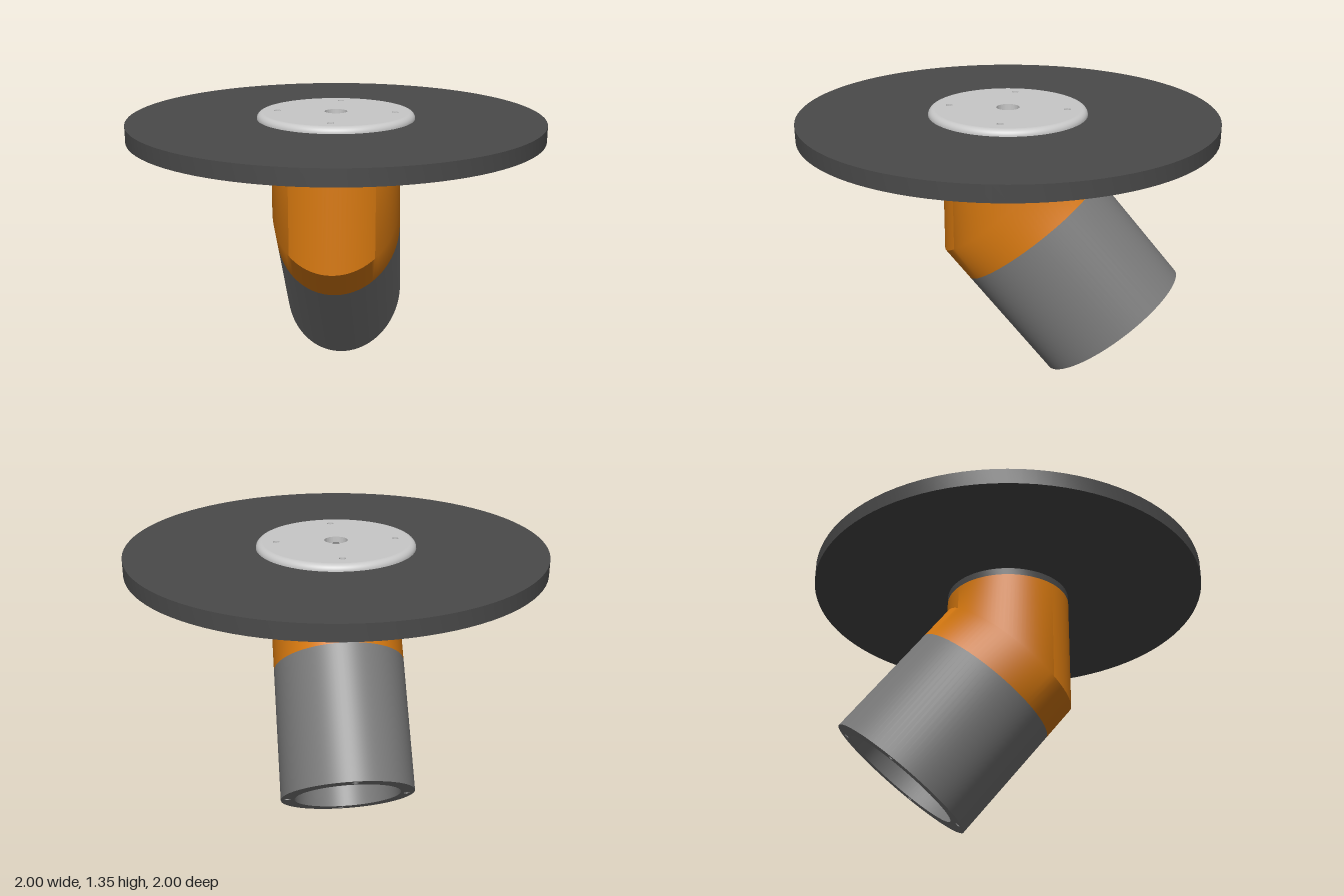
import * as THREE from 'three';
import { toCreasedNormals } from 'three/addons/utils/BufferGeometryUtils.js';

const TILT = THREE.MathUtils.degToRad(40);
const R = 0.315, BORE = 0.25, SCREW = 0.283, SCREW_R = 0.016;
const STRETCH = 1 / Math.cos(TILT); // slanted cut turns the round tube elliptical
const MITRE_Y = 0.895, SLEEVE = 0.19, PIPE = 0.63;

const mat = (name, color, side = THREE.FrontSide) => {
  const m = new THREE.MeshStandardMaterial({ color, side });
  m.name = name;
  return m;
};

// Ellipse plate with a central bore and four screw holes, extruded along +z
function drilledPlate(radius, bore, depth, stretch = 1) {
  const shape = new THREE.Shape();
  shape.absellipse(0, 0, radius, radius * stretch, 0, Math.PI * 2);
  const hole = (x, y, rx, ry) => {
    const p = new THREE.Path();
    p.absellipse(x, y, rx, ry, 0, Math.PI * 2, true);
    shape.holes.push(p);
  };
  hole(0, 0, bore, bore * stretch);
  for (const s of [-1, 1]) {
    hole(s * SCREW, 0, SCREW_R, SCREW_R);
    hole(0, s * SCREW * stretch, SCREW_R, SCREW_R);
  }
  const geo = new THREE.ExtrudeGeometry(shape, { depth, bevelEnabled: false, curveSegments: 48 });
  return toCreasedNormals(geo, 0.5);
}

// Hollow elbow: vertical round tube meeting a short slanted sleeve
function elbowGeometry() {
  const N = 96;
  const top = (x, z) => [x, 1.215, z];
  const mitre = (x, z) => [x, MITRE_Y - z * Math.tan(TILT), z];
  const end = (x, z) => {
    const [, y] = mitre(x, z);
    return [x, y - SLEEVE * Math.cos(TILT), z - SLEEVE * Math.sin(TILT)];
  };
  const rings = [[BORE, top], [R, top], [R, mitre], [R, end], [BORE, end], [BORE, mitre], [BORE, top]];
  const pos = [], idx = [];
  for (const [r, place] of rings) {
    for (let i = 0; i < N; i++) {
      const a = (i / N) * Math.PI * 2;
      pos.push(...place(r * Math.sin(a), r * Math.cos(a)));
    }
  }
  for (let k = 0; k < rings.length - 1; k++) {
    for (let i = 0; i < N; i++) {
      const a = k * N + i, b = k * N + ((i + 1) % N), c = a + N, d = b + N;
      idx.push(a, c, b, b, c, d);
    }
  }
  const geo = new THREE.BufferGeometry();
  geo.setAttribute('position', new THREE.Float32BufferAttribute(pos, 3));
  geo.setIndex(idx);
  return toCreasedNormals(geo, 0.5);
}

export function createModel() {
  const group = new THREE.Group();
  const dark = mat('darkGrey', 0x4a4a4a);
  const light = mat('lightGrey', 0xc8c8c8);
  const grey = mat('midGrey', 0x7a7a7a);
  const orange = mat('orange', 0xd97a10);

  const add = (name, geo, material) => {
    const m = new THREE.Mesh(geo, material);
    m.name = name;
    group.add(m);
    return m;
  };
  const addFlat = (name, radius, y, height, material) => {
    const m = add(name, drilledPlate(radius, 0.055, height), material);
    m.rotation.x = -Math.PI / 2;
    m.position.y = y;
  };

  // Stacked horizontal plates
  addFlat('collar', R, 1.215, 0.035, dark);
  addFlat('disc', 1, 1.25, 0.077, dark);
  addFlat('capPlate', 0.35, 1.327, 0.03, light);

  // Rounded rim of the cap
  const rim = [];
  for (let i = 0; i <= 8; i++) {
    const a = -(i / 8) * Math.PI / 2 + Math.PI / 2;
    rim.unshift(new THREE.Vector2(0.35 + 0.03 * Math.cos(a), 1.327 + 0.03 * Math.sin(a)));
  }
  add('capRim', new THREE.LatheGeometry(rim, 96), light);

  // Elbow and the slanted pipe below it
  add('elbow', elbowGeometry(), orange);
  const pipe = add('pipe', drilledPlate(R, BORE, PIPE, STRETCH), grey);
  const reach = SLEEVE + PIPE;
  pipe.rotation.x = TILT - Math.PI / 2;
  pipe.position.set(0, MITRE_Y - reach * Math.cos(TILT), -reach * Math.sin(TILT));

  return group;
}
